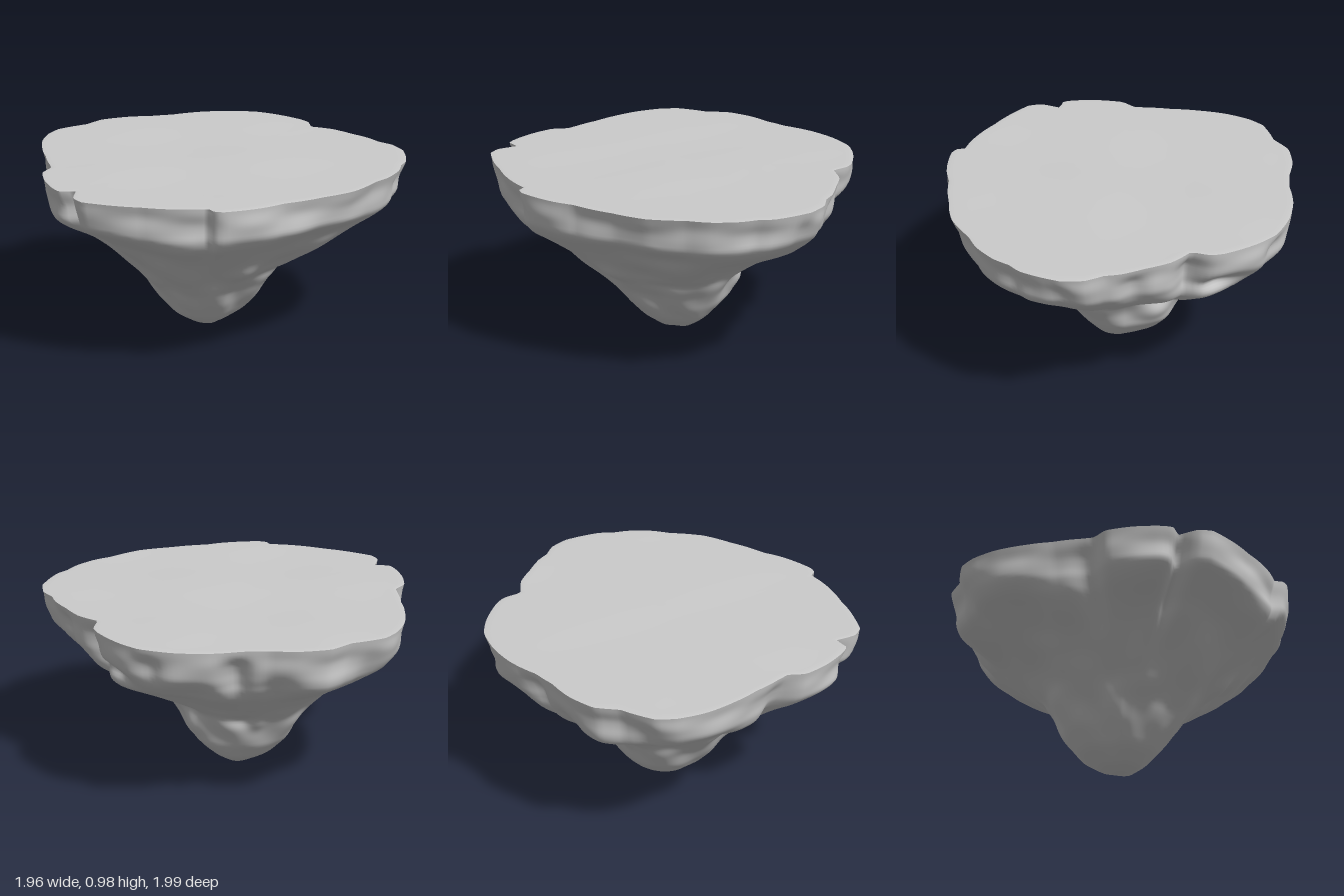
import * as THREE from 'three';

const SEGMENTS = 240, RINGS = 64, TAU = Math.PI * 2, TOP = 0.975;

// Rim outline as x, z pairs, in order of growing angle from +x towards +z
const RIM = [
  0.97, 0, 0.95, 0.06, 0.87, 0.13, 0.9, 0.26, 0.88, 0.4, 0.86, 0.53, 0.83, 0.6, 0.82, 0.7,
  0.76, 0.8, 0.65, 0.88, 0.58, 0.92, 0.51, 0.93, 0.42, 0.97, 0.28, 0.99, 0.17, 0.975, -0.03, 0.97,
  -0.2, 0.9, -0.4, 0.8, -0.5, 0.765, -0.69, 0.64, -0.705, 0.6, -0.69, 0.56, -0.76, 0.48, -0.87, 0.28,
  -0.95, 0.1, -0.98, 0, -0.96, -0.07, -0.86, -0.14, -0.92, -0.2, -0.9, -0.26, -0.83, -0.38, -0.73, -0.49,
  -0.64, -0.51, -0.6, -0.56, -0.5, -0.68, -0.4, -0.8, -0.28, -0.91, -0.15, -0.98, -0.05, -1, 0.13, -0.94,
  0.26, -0.94, 0.4, -0.86, 0.5, -0.76, 0.6, -0.68, 0.75, -0.59, 0.87, -0.47, 0.96, -0.32, 0.98, -0.2,
];

// Width of the rock at each height, as a share of the rim, every 45 degrees from +x towards +z
const HEIGHTS = [0.975, 0.9, 0.8, 0.74, 0.67, 0.6, 0.5, 0.4, 0.3, 0.2, 0.1, 0.03, 0];
const PROFILES = [
  [1, 0.99, 0.98, 0.94, 0.88, 0.72, 0.56, 0.41, 0.36, 0.32, 0.21, 0.1, 0],
  [1, 0.98, 0.96, 0.91, 0.82, 0.69, 0.54, 0.42, 0.35, 0.29, 0.2, 0.1, 0],
  [1, 0.97, 0.96, 0.88, 0.79, 0.7, 0.55, 0.44, 0.33, 0.26, 0.18, 0.09, 0],
  [1, 0.99, 0.98, 0.93, 0.83, 0.73, 0.6, 0.48, 0.37, 0.3, 0.21, 0.11, 0],
  [1, 0.98, 0.97, 0.88, 0.76, 0.68, 0.56, 0.44, 0.34, 0.28, 0.21, 0.1, 0],
  [1, 0.98, 0.96, 0.9, 0.79, 0.68, 0.55, 0.44, 0.36, 0.3, 0.22, 0.11, 0],
  [1, 0.98, 0.96, 0.93, 0.82, 0.69, 0.55, 0.45, 0.38, 0.32, 0.22, 0.1, 0],
  [1, 0.99, 0.97, 0.93, 0.84, 0.72, 0.57, 0.46, 0.4, 0.34, 0.24, 0.12, 0],
];

// Clefts and hollows (negative depth: bulges):
// angle in degrees, height, angular width, vertical reach, depth
const DENTS = [
  [47, 0.85, 3, 0.12, 0.03], [9, 0.8, 4, 0.16, 0.04], [-2, 0.76, 8, 0.05, 0.08],
  [6, 0.59, 9, 0.04, -0.04], [3, 0.43, 14, 0.04, 0.04], [0, 0.3, 16, 0.06, -0.02],
  [-20, 0.85, 4, 0.1, 0.04], [28, 0.84, 4, 0.1, 0.05], [-46, 0.82, 4, 0.15, 0.06],
  [-33, 0.72, 6, 0.08, 0.03], [-60, 0.74, 6, 0.09, 0.04], [-45, 0.4, 14, 0.05, 0.04],
  [-58, 0.38, 7, 0.05, -0.03], [88, 0.7, 12, 0.06, 0.04], [120, 0.48, 10, 0.06, -0.04],
  [85, 0.4, 20, 0.04, 0.03], [189, 0.76, 4, 0.2, 0.05], [160, 0.62, 10, 0.1, 0.02],
  [222, 0.76, 5, 0.16, 0.04], [250, 0.66, 9, 0.1, 0.03], [270, 0.8, 5, 0.12, 0.03],
];

const { lerp, smoothstep: smooth, clamp, euclideanModulo } = THREE.MathUtils;

const polar = [];
for (let i = 0; i < RIM.length; i += 2) {
  const a = Math.atan2(RIM[i + 1], RIM[i]);
  polar.push([euclideanModulo(a, TAU), Math.hypot(RIM[i], RIM[i + 1])]);
}
polar.push([TAU, polar[0][1]]);

function rimRadius(angle) {
  const a = euclideanModulo(angle, TAU);
  let i = 0;
  while (i < polar.length - 2 && polar[i + 1][0] < a) i++;
  const [a0, r0] = polar[i], [a1, r1] = polar[i + 1];
  return lerp(r0, r1, (a - a0) / (a1 - a0));
}

// Rim with its notches averaged away, used lower down
function softRadius(angle) {
  let sum = 0;
  for (let k = -6; k <= 6; k++) sum += rimRadius(angle + k * 0.05);
  return sum / 13;
}

function widthAt(angle, height) {
  const y = clamp(height, 0, TOP);
  let i = 0;
  while (i < HEIGHTS.length - 2 && HEIGHTS[i + 1] > y) i++;
  const t = (HEIGHTS[i] - y) / (HEIGHTS[i] - HEIGHTS[i + 1]);
  const q = angle / (Math.PI / 4), side = Math.floor(q) % 8;
  const at = (p) => lerp(p[i], p[i + 1], t);
  return lerp(at(PROFILES[side]), at(PROFILES[(side + 1) % 8]), smooth(q % 1, 0, 1));
}

// Width with rounded breaks, its strata wandering up and down around the rock
function strataWidth(angle, y) {
  const wander = (Math.sin(angle * 5 + 0.6) + 0.7 * Math.sin(angle * 9 + 2)) * 0.01;
  const h = y + wander * smooth(y, 0.1, 0.4) * (1 - smooth(y, 0.82, 0.95));
  const reach = 0.015 * smooth(y, 0, 0.1);
  return (widthAt(angle, h - reach) + widthAt(angle, h) + widthAt(angle, h + reach)) / 3;
}

function erosion(angle, y) {
  let d = 0;
  for (const [deg, h, w, reach, depth] of DENTS) {
    const off = euclideanModulo(angle * 180 / Math.PI - deg + 180, 360) - 180;
    d += depth * Math.exp(-((off / w) ** 2) - ((y - h) / reach) ** 2);
  }
  const ripple = Math.sin(angle * 5 + y * 11 + Math.sin(y * 17)) + Math.sin(angle * 8 - y * 19 + 1)
    + 0.8 * Math.sin(angle * 13 + y * 23 + 2) * y;
  return (d - ripple * 0.006) * smooth(y, 0.03, 0.3) * (1 - smooth(y, 0.88, TOP));
}

// Stacks closed rings, then closes the last one on a centre point
function ringSurface(rings, centre, faceUp) {
  const index = [];
  const add = (a, b, c) => (faceUp ? index.push(a, c, b) : index.push(a, b, c));
  const last = (rings.length - 1) * SEGMENTS, tip = rings.length * SEGMENTS;
  for (let i = 0; i < SEGMENTS; i++) {
    const j = (i + 1) % SEGMENTS;
    for (let k = 0; k < last; k += SEGMENTS) {
      add(k + i, k + j, k + SEGMENTS + i);
      add(k + j, k + SEGMENTS + j, k + SEGMENTS + i);
    }
    add(last + i, last + j, tip);
  }
  const geometry = new THREE.BufferGeometry();
  geometry.setAttribute('position', new THREE.Float32BufferAttribute(rings.flat(2).concat(centre), 3));
  geometry.setIndex(index);
  geometry.computeVertexNormals();
  return geometry;
}

const ring = (point) => Array.from({ length: SEGMENTS }, (_, i) => point((i / SEGMENTS) * TAU));

export function createModel() {
  const group = new THREE.Group();
  group.name = 'floatingIsland';
  const material = new THREE.MeshStandardMaterial({ color: 0xcccccc });
  const add = (name, geometry) => {
    const mesh = new THREE.Mesh(geometry, material);
    mesh.name = name;
    group.add(mesh);
  };

  // Tapering rock underside with its steep rim
  const rock = [];
  for (let k = 0; k < RINGS; k++) {
    const y = TOP * (1 - k / RINGS);
    const shift = 0.04 * (1 - smooth(y, 0, 0.4));
    rock.push(ring((a) => {
      const rim = lerp(softRadius(a), rimRadius(a), smooth(y, 0.45, 0.85));
      const r = rim * (k === 0 ? 1 : strataWidth(a, y)) - erosion(a, y);
      return [Math.cos(a) * r + shift, y, Math.sin(a) * r];
    }));
  }
  add('rockUnderside', ringSurface(rock, [0.04, 0, 0], false));

  // Nearly flat ground on top, rounded at the edge
  const ground = [1, 0.985, 0.96, 0.88, 0.75, 0.6, 0.45, 0.3, 0.15].map((s) => ring((a) => {
    const x = Math.cos(a) * rimRadius(a) * s, z = Math.sin(a) * rimRadius(a) * s;
    const wave = 0.004 * Math.sin(x * 5 + 1) * Math.sin(z * 6);
    return [x, s === 1 ? TOP : 0.977 + wave * (1 - s ** 4), z];
  }));
  add('groundTop', ringSurface(ground, [0, 0.977, 0], true));
  return group;
}
